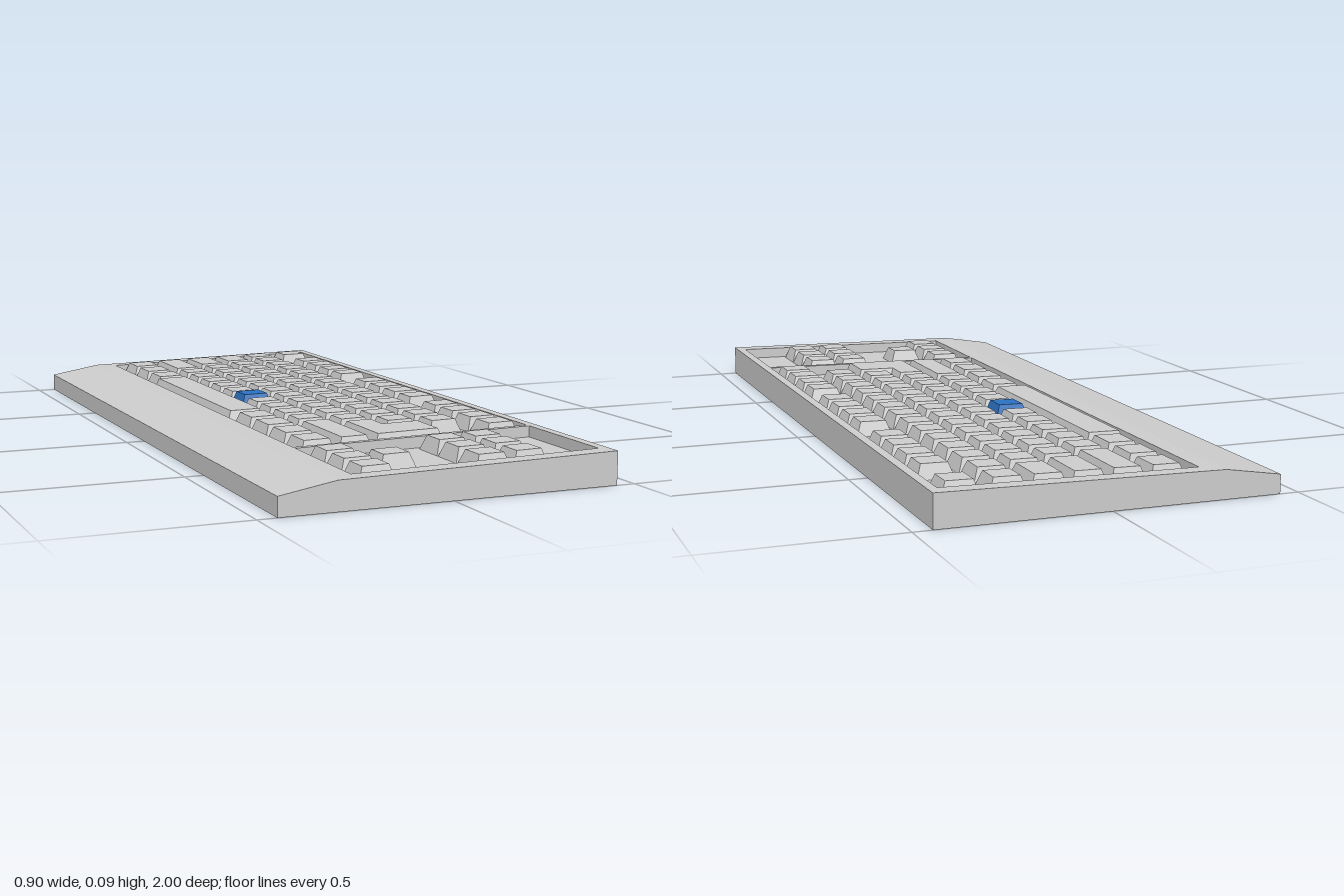
import * as THREE from 'three';

const DEPTH = 0.03;      // depth of the key wells
const RISE = 0.0085;     // how far keys stand above the case
const PITCH = 0.103;     // key spacing
const GAP = 0.005;
const SLOPE = 0.016;
const deckY = (x) => 0.075 + SLOPE * (x + 0.3);

const grey = new THREE.MeshStandardMaterial({ color: 0xcccccc, flatShading: true });
const blue = new THREE.MeshStandardMaterial({ color: 0x2a70c0, flatShading: true });

// Lean a geometry so that y = 0 follows the sloping deck
function lean(geo) {
  const p = geo.attributes.position;
  for (let i = 0; i < p.count; i++) p.setY(i, p.getY(i) + deckY(p.getX(i)));
  geo.computeVertexNormals();
  return geo;
}

function rectPath(path, x0, x1, z0, z1) {
  path.moveTo(x0, z0).lineTo(x1, z0).lineTo(x1, z1).lineTo(x0, z1).closePath();
  return path;
}

// Tapered key standing on the well floor
function key(name, x0, x1, z0, z1, { material = grey, rise = RISE, inset = 0.014 } = {}) {
  const w = x1 - x0, d = z1 - z0, h = DEPTH + rise;
  const geo = new THREE.BoxGeometry(w, h, d).toNonIndexed();
  const p = geo.attributes.position;
  for (let i = 0; i < p.count; i++) {
    if (p.getY(i) > 0) {
      p.setX(i, p.getX(i) - Math.sign(p.getX(i)) * inset);
      p.setZ(i, p.getZ(i) - Math.sign(p.getZ(i)) * inset);
    }
  }
  geo.translate((x0 + x1) / 2, h / 2 - DEPTH, (z0 + z1) / 2);
  const mesh = new THREE.Mesh(lean(geo), material);
  mesh.name = name;
  return mesh;
}

export function createModel() {
  const model = new THREE.Group();
  model.name = 'keyboard';

  // Lower case with the sloping front rest
  const profile = new THREE.Shape([
    [-0.45, 0], [0.45, 0], [0.45, deckY(0.45) - DEPTH],
    [-0.3, deckY(-0.3) - DEPTH], [-0.3, deckY(-0.3)], [-0.45, 0.05],
  ].map(([x, y]) => new THREE.Vector2(x, y)));
  const caseGeo = new THREE.ExtrudeGeometry(profile, { depth: 2, bevelEnabled: false });
  caseGeo.translate(0, 0, -1);
  const lower = new THREE.Mesh(caseGeo, grey);
  lower.name = 'lowerCase';
  model.add(lower);

  // Top frame with two key wells
  const frame = rectPath(new THREE.Shape(), -0.3, 0.45, -1, 1);
  frame.holes.push(
    rectPath(new THREE.Path(), -0.247, 0.425, -0.957, 0.6),
    rectPath(new THREE.Path(), -0.247, 0.425, 0.617, 0.952),
  );
  const frameGeo = new THREE.ExtrudeGeometry(frame, { depth: DEPTH, bevelEnabled: false });
  frameGeo.rotateX(Math.PI / 2);
  const top = new THREE.Mesh(lean(frameGeo), grey);
  top.name = 'topFrame';
  model.add(top);

  // Rows from the rest to the back edge, x ranges
  const rows = {
    bottom: [-0.219, -0.121],
    lower: [-0.114, -0.017],
    home: [-0.011, 0.086],
    upper: [0.092, 0.189],
    number: [0.196, 0.293],
    function: [0.314, 0.412],
  };
  const groups = {};
  for (const name of Object.keys(rows)) {
    groups[name] = new THREE.Group();
    groups[name].name = name + 'Row';
    model.add(groups[name]);
  }
  const put = (row, name, z0, z1, opts) =>
    groups[row].add(key(name, ...rows[row], z0, z1 - GAP, opts));
  const run = (row, start, count) => {
    for (let i = 0; i < count; i++) put(row, 'key', start + i * PITCH, start + (i + 1) * PITCH);
  };

  // Bottom row: wide modifiers either side of the space bar
  for (const z of [-0.95, -0.826, -0.702]) put('bottom', 'modifierKey', z, z + 0.122);
  for (const z of [0.101, 0.226, 0.35]) put('bottom', 'modifierKey', z, z + 0.122);
  put('bottom', 'modifierKey', 0.474, 0.592);
  groups.bottom.add(key('spaceBar', -0.235, -0.121, -0.58, 0.096));

  // Lower row with the one coloured key
  put('lower', 'leftShiftKey', -0.95, -0.722);
  run('lower', -0.722, 5);
  put('lower', 'blueKey', -0.207, -0.104, { material: blue, rise: 0.0135 });
  run('lower', -0.104, 4);
  put('lower', 'rightShiftKey', 0.308, 0.592);

  // Home and upper rows, joined by the L-shaped enter key
  put('home', 'capsKey', -0.95, -0.772);
  run('home', -0.772, 11);
  put('home', 'enterKeyStem', 0.361, 0.592);
  groups.home.add(key('enterKeyFoot', rows.home[0], rows.upper[1], 0.439, 0.587));
  put('upper', 'tabKey', -0.95, -0.8);
  run('upper', -0.8, 12);

  // Number row and the grouped function row
  run('number', -0.95, 14);
  run('function', -0.95, 1);
  for (const z of [-0.777, -0.288, 0.18]) run('function', z, 4);

  // Side cluster: arrows in front, editing block behind
  for (const row of ['bottom', 'upper', 'number']) run(row, 0.633, 3);
  run('lower', 0.633 + PITCH, 1);

  return model;
}
